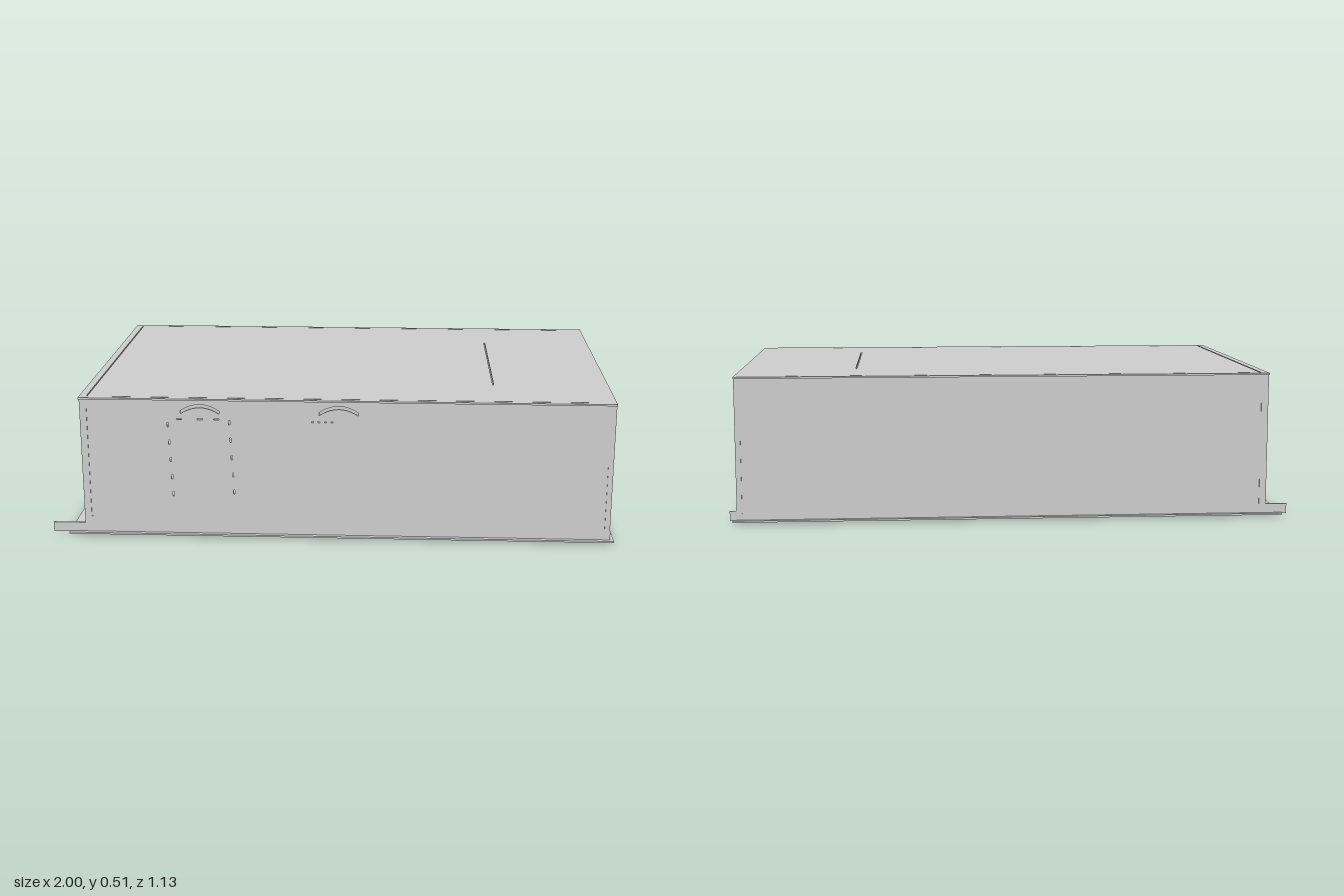
import * as THREE from 'three';

const T = 0.006; // sheet thickness
const material = new THREE.MeshStandardMaterial({ color: 0xcccccc, flatShading: true, side: THREE.DoubleSide });

// Closed rectangle path centred on (u, v)
function slot(u, v, w, h) {
  const p = new THREE.Path();
  p.moveTo(u - w / 2, v - h / 2);
  p.lineTo(u + w / 2, v - h / 2);
  p.lineTo(u + w / 2, v + h / 2);
  p.lineTo(u - w / 2, v + h / 2);
  p.closePath();
  return p;
}

// Arched grip cut-out
function grip(u) {
  const p = new THREE.Path();
  p.moveTo(u - 0.068, 0.455);
  p.quadraticCurveTo(u, 0.5, u + 0.068, 0.455);
  p.lineTo(u + 0.068, 0.466);
  p.quadraticCurveTo(u, 0.512, u - 0.068, 0.466);
  p.closePath();
  return p;
}

// Thin sheet cut from an outline, centred on its own plane
function sheet(name, outline, holes = []) {
  const shape = new THREE.Shape(outline.map(([u, v]) => new THREE.Vector2(u, v)));
  shape.holes.push(...holes);
  const geometry = new THREE.ExtrudeGeometry(shape, { depth: T, bevelEnabled: false, curveSegments: 10 });
  geometry.translate(0, 0, -T / 2);
  const mesh = new THREE.Mesh(geometry, material);
  mesh.name = name;
  return mesh;
}

const rect = (u0, u1, v0, v1) => [[u0, v0], [u1, v0], [u1, v1], [u0, v1]];

// Long wall whose bottom strip runs past the box as tabs
const longWall = (u0, u1) => [
  [u0, 0.01], [u1, 0.01], [u1, 0.045], [0.976, 0.045],
  [0.976, 0.507], [-0.885, 0.507], [-0.885, 0.045], [u0, 0.045],
];

export function createModel() {
  const model = new THREE.Group();
  const wallZ = 0.547, leftX = 0.955, rightX = -0.858;

  // Floor and roof plates, with the joint slots
  const floor = sheet('floor', rect(-0.942, 0.99, -0.565, 0.565), [slot(0.58, -0.01, 0.004, 0.64)]);
  floor.rotation.x = -Math.PI / 2;
  floor.position.y = 0.01;
  const roof = sheet('roof', rect(-0.885, 0.976, -0.565, 0.565), [
    slot(0.565, -0.01, 0.004, 0.64),
    slot(rightX, 0, 0.004, 1.08),
    slot(0.045, wallZ, 1.76, 0.003),
    slot(0.045, -wallZ, 1.76, 0.003),
  ]);
  roof.rotation.x = -Math.PI / 2;
  roof.position.y = 0.51;
  model.add(floor, roof);

  // Front wall: grips, perforated door outline and corner joints
  const frontHoles = [grip(-0.463), grip(0.022), slot(rightX, 0.27, 0.005, 0.4), slot(leftX, 0.17, 0.005, 0.26)];
  for (let i = 0; i < 5; i++) {
    const y = 0.415 - i * 0.064;
    frontHoles.push(slot(-0.576 + i * 0.003, y, 0.005, 0.016), slot(-0.36 + i * 0.003, y + 0.01, 0.005, 0.016));
  }
  for (const x of [-0.535, -0.463, -0.405]) frontHoles.push(slot(x, 0.436, 0.018, 0.005));
  for (const x of [-0.07, -0.047, -0.024, -0.001]) frontHoles.push(slot(x, 0.431, 0.007, 0.004));
  const front = sheet('frontWall', longWall(-1, 0.978), frontHoles);
  front.position.z = wallZ;

  // Back wall
  const back = sheet('backWall', longWall(-0.96, 1), [
    slot(leftX, 0.17, 0.005, 0.27),
    slot(rightX, 0.39, 0.005, 0.1),
    slot(rightX, 0.1, 0.005, 0.11),
  ]);
  back.position.z = -wallZ;
  model.add(front, back);

  // End walls and the inner divider (sheet u runs along -z)
  const end = rect(-wallZ, wallZ, 0.012, 0.508);
  const left = sheet('leftWall', end);
  const right = sheet('rightWall', end, [
    slot(-0.02, 0.286, 0.005, 0.338),
    slot(0.08, 0.119, 0.18, 0.004),
    slot(0.1, 0.453, 0.1, 0.004),
  ]);
  const divider = sheet('divider', rect(-0.54, 0.54, 0.014, 0.506));
  [[left, leftX], [right, rightX], [divider, 0.572]].forEach(([mesh, x]) => {
    mesh.rotation.y = Math.PI / 2;
    mesh.position.x = x;
    model.add(mesh);
  });

  // Small tabs showing below the floor
  const addTab = (x, z, w, d) => {
    const tab = new THREE.Mesh(new THREE.BoxGeometry(w, 0.01, d), material);
    tab.name = 'floorTab';
    tab.position.set(x, 0.005, z);
    model.add(tab);
  };
  for (const side of [-1, 1]) {
    addTab(0.305, side * 0.187, 0.1, 0.012);
    for (const x of [-0.405, -0.035]) addTab(x, side * 0.315, 0.012, 0.1);
  }

  return model;
}
